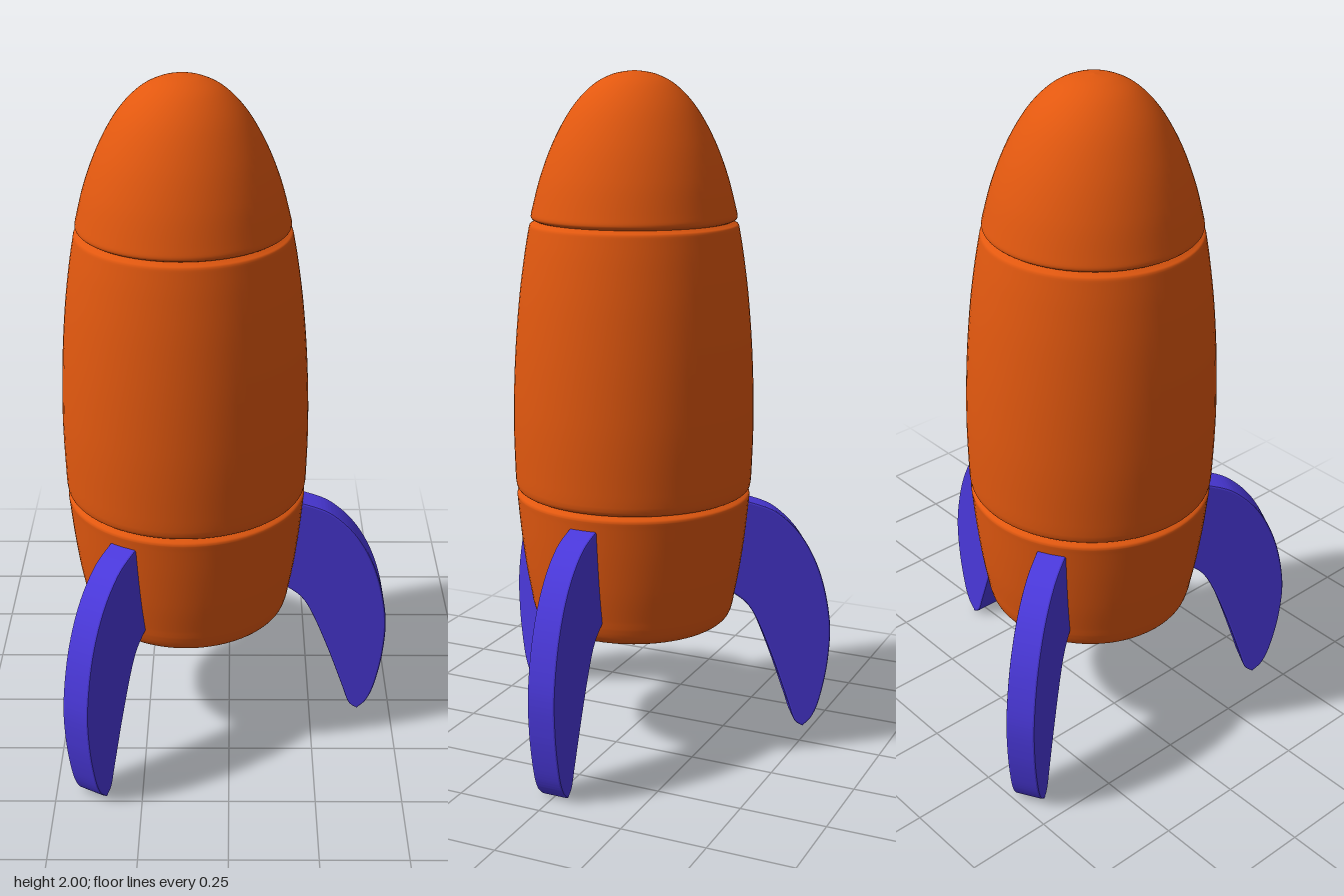
import * as THREE from 'three';
import { toCreasedNormals } from 'three/addons/utils/BufferGeometryUtils.js';

const CENTRE_X = -0.126;

const v = (p) => new THREE.Vector2(p[0], p[1]);

// Smooth run of [radius, y] points
const curve = (pts, n = 24) => new THREE.SplineCurve(pts.map(v)).getPoints(n);

function turned(name, profile, material) {
  const mesh = new THREE.Mesh(new THREE.LatheGeometry(profile, 72), material);
  mesh.name = name;
  return mesh;
}

function finGeometry() {
  // Side outline: x is the distance from the rocket's axis
  const s = new THREE.Shape();
  s.moveTo(0.27, 0.737);
  s.lineTo(0.345, 0.735);
  s.splineThru([
    [0.43, 0.7], [0.51, 0.62], [0.57, 0.5], [0.603, 0.35], [0.601, 0.22],
    [0.58, 0.1], [0.556, 0.035], [0.526, 0.004],
  ].map(v));
  s.splineThru([
    [0.5, 0.025], [0.477, 0.09], [0.43, 0.225], [0.38, 0.35], [0.345, 0.41], [0.3, 0.447],
  ].map(v));
  s.lineTo(0.27, 0.46);
  s.closePath();
  const bevel = 0.006;
  const thickness = 0.085;
  const g = new THREE.ExtrudeGeometry(s, {
    depth: thickness - 2 * bevel, curveSegments: 40,
    bevelEnabled: true, bevelSize: bevel, bevelThickness: bevel,
    bevelOffset: -bevel, bevelSegments: 2,
  });
  g.translate(0, 0, -thickness / 2 + bevel);
  return toCreasedNormals(g, 0.35);
}

export function createModel() {
  const orange = new THREE.MeshStandardMaterial({ color: 0xe2580f });
  orange.name = 'orange';
  const violet = new THREE.MeshStandardMaterial({ color: 0x4b39dd });
  violet.name = 'violet';

  const rocket = new THREE.Group();
  rocket.name = 'rocket';
  rocket.position.set(CENTRE_X, 0, 0.002);

  // Tail: hollow underneath, rolled rim, tapered wall, lip at the seam
  rocket.add(turned('tail', [
    ...curve([[0, 0.56], [0.12, 0.545], [0.19, 0.5], [0.215, 0.43], [0.222, 0.385]], 20),
    ...curve([[0.228, 0.377], [0.245, 0.373], [0.272, 0.38], [0.294, 0.4], [0.305, 0.436]], 16),
    ...curve([[0.307, 0.45], [0.323, 0.54], [0.337, 0.65], [0.347, 0.755]], 16),
    ...curve([[0.348, 0.762], [0.346, 0.77], [0.338, 0.775], [0.328, 0.78]], 8),
  ], orange));

  // Main hull: gently bulged with rounded lips
  rocket.add(turned('hull', [
    ...curve([[0.328, 0.78], [0.34, 0.784], [0.348, 0.793], [0.351, 0.81]], 8),
    ...curve([[0.352, 0.83], [0.355, 0.95], [0.354, 1.06], [0.347, 1.21], [0.334, 1.36],
      [0.318, 1.48], [0.305, 1.555]], 32),
    ...curve([[0.304, 1.56], [0.301, 1.567], [0.294, 1.571], [0.284, 1.577]], 8),
  ], orange));

  // Nose cone
  rocket.add(turned('nose', [
    ...curve([[0.284, 1.577], [0.293, 1.581], [0.298, 1.587], [0.298, 1.595]], 8),
    ...curve([[0.297, 1.6], [0.27, 1.702], [0.23, 1.805], [0.178, 1.896], [0.12, 1.958],
      [0.06, 1.99], [0, 2]], 40),
  ], orange));

  // Three fins spaced evenly around the tail
  const finShape = finGeometry();
  for (let i = 0; i < 3; i++) {
    const fin = new THREE.Mesh(finShape, violet);
    fin.name = `fin${i + 1}`;
    fin.rotation.y = (i * Math.PI * 2) / 3;
    rocket.add(fin);
  }

  const model = new THREE.Group();
  model.name = 'model';
  model.add(rocket);
  return model;
}
